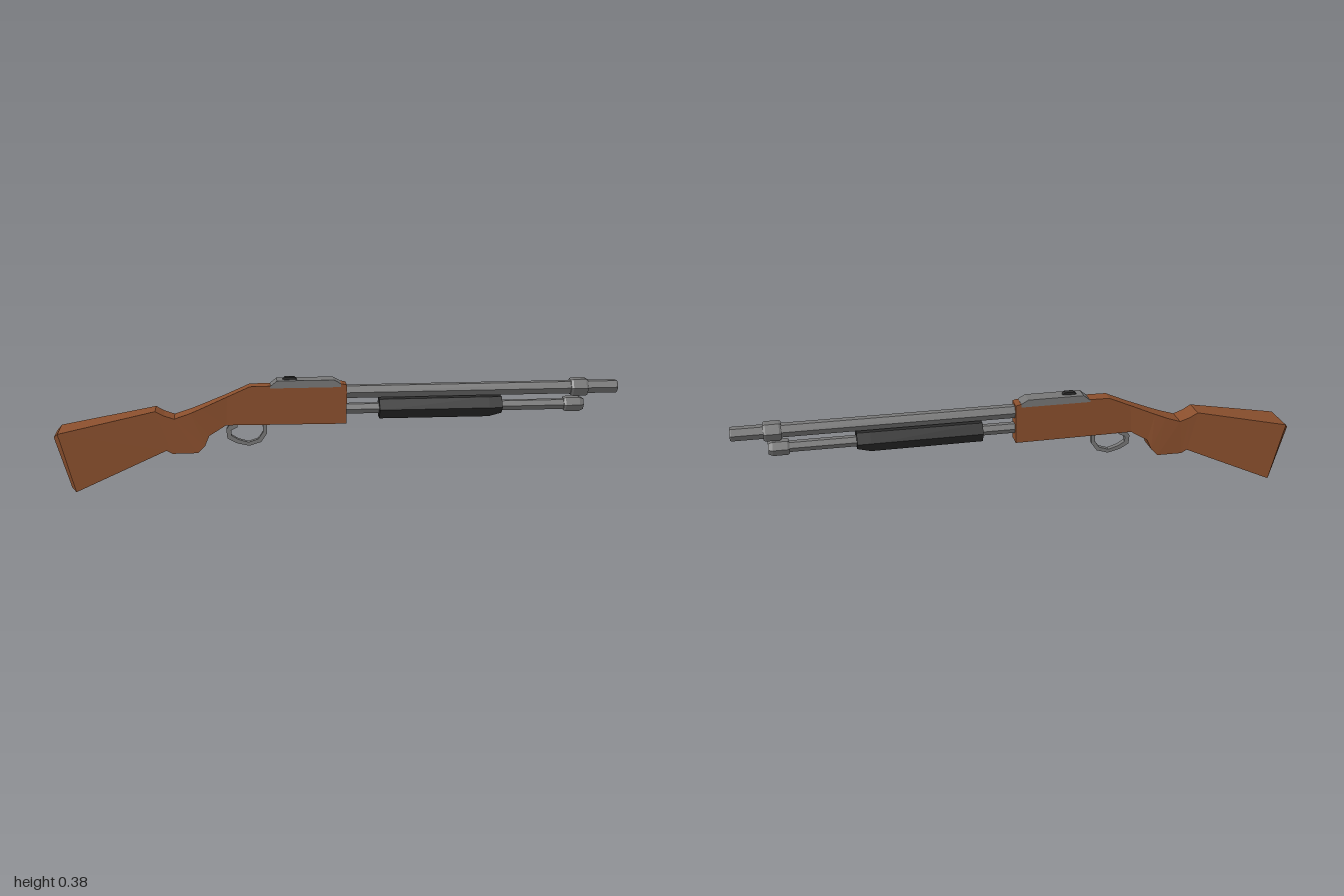
import * as THREE from 'three';

function makeMaterial(name, color) {
  const m = new THREE.MeshStandardMaterial({ color, flatShading: true });
  m.name = name;
  return m;
}

// Rectangular sections joined along x: [topX, topY, bottomX, bottomY, halfWidth]
function loft(sections) {
  const pos = [], index = [], last = (sections.length - 1) * 4;
  for (const [tx, ty, bx, by, w] of sections) {
    pos.push(tx, ty, w, tx, ty, -w, bx, by, -w, bx, by, w);
  }
  for (let i = 0; i < last; i += 4) {
    for (let j = 0; j < 4; j++) {
      const k = (j + 1) % 4, a = i + j, b = i + k, c = b + 4, d = a + 4;
      index.push(a, d, b, b, d, c);
    }
  }
  index.push(0, 1, 2, 0, 2, 3);
  index.push(last, last + 3, last + 2, last, last + 2, last + 1);
  const geo = new THREE.BufferGeometry();
  geo.setAttribute('position', new THREE.Float32BufferAttribute(pos, 3));
  geo.setIndex(index);
  const flat = geo.toNonIndexed();
  flat.computeVertexNormals();
  return flat;
}

// Six-sided turned part lying along x: profile of [radius, x]
function hexPart(profile, y) {
  const geo = new THREE.LatheGeometry(profile.map(([r, x]) => new THREE.Vector2(r, x)), 6);
  return geo.rotateZ(-Math.PI / 2).translate(0, y, 0);
}

export function createModel() {
  const group = new THREE.Group();
  const wood = makeMaterial('wood', 0x8a4f2d);
  const steel = makeMaterial('steel', 0x777777);
  const black = makeMaterial('black', 0x2a2a2a);
  const add = (name, geo, mat) => {
    const mesh = new THREE.Mesh(geo, mat);
    mesh.name = name;
    group.add(mesh);
  };

  // Shoulder stock, grip and receiver in one wooden body
  add('stockAndReceiver', loft([
    [-1.0, 0.196, -0.946, 0.012, 0.046],
    [-0.985, 0.212, -0.93, 0.002, 0.067],
    [-0.65, 0.279, -0.615, 0.137, 0.042],
    [-0.62, 0.262, -0.595, 0.125, 0.041],
    [-0.585, 0.25, -0.505, 0.125, 0.04],
    [-0.53, 0.268, -0.48, 0.15, 0.038],
    [-0.49, 0.284, -0.465, 0.185, 0.034],
    [-0.4, 0.322, -0.405, 0.22, 0.026],
    [-0.32, 0.357, -0.32, 0.219, 0.026],
    [0.005, 0.361, 0.005, 0.217, 0.028],
    [0.02, 0.357, 0.02, 0.217, 0.028],
  ]), wood);

  // Barrel with a recessed muzzle, and its clamp ring
  const barrelY = 0.328, tubeY = 0.266;
  add('barrel', hexPart([[0, -0.02], [0.025, -0.02], [0.025, 0.995], [0.022, 1.0],
    [0.017, 1.0], [0.017, 0.975], [0, 0.975]], barrelY), steel);
  add('barrelRing', hexPart([[0.024, 0.828], [0.031, 0.828], [0.035, 0.836], [0.035, 0.882],
    [0.031, 0.89], [0.024, 0.89]], barrelY), steel);

  // Lower tube and its end cap
  add('lowerTube', hexPart([[0, -0.02], [0.02, -0.02], [0.02, 0.82], [0, 0.82]], tubeY), steel);
  add('lowerTubeCap', hexPart([[0, 0.805], [0.025, 0.805], [0.029, 0.812], [0.029, 0.862],
    [0.022, 0.877], [0.016, 0.877], [0, 0.872]], tubeY), steel);

  // Sliding grip: the lower edge rises towards its front end
  const grip = hexPart([[0, 0.137], [0.04, 0.137], [0.041, 0.53], [0.041, 0.577], [0, 0.577]], tubeY);
  const p = grip.attributes.position;
  for (let i = 0; i < p.count; i++) {
    if (p.getX(i) > 0.55 && p.getY(i) < tubeY - 0.02) p.setY(i, p.getY(i) + 0.012);
  }
  add('slidingGrip', grip, black);

  // Top cover with sloped ends and a small catch
  add('topCover', loft([
    [-0.25, 0.356, -0.25, 0.35, 0.029],
    [-0.225, 0.376, -0.225, 0.35, 0.029],
    [-0.025, 0.376, -0.025, 0.35, 0.029],
    [0.0, 0.362, 0.0, 0.35, 0.029],
  ]), steel);
  add('topCatch', loft([
    [-0.203, 0.378, -0.205, 0.374, 0.008],
    [-0.195, 0.385, -0.195, 0.374, 0.011],
    [-0.163, 0.385, -0.163, 0.374, 0.011],
    [-0.155, 0.378, -0.153, 0.374, 0.008],
  ]), black);

  // Curved finger guard under the receiver
  const outer = [[-0.388, 0.225], [-0.405, 0.2], [-0.402, 0.168], [-0.37, 0.15], [-0.325, 0.139],
    [-0.283, 0.152], [-0.262, 0.182], [-0.262, 0.225]];
  const inner = [[-0.276, 0.225], [-0.276, 0.187], [-0.293, 0.163], [-0.327, 0.152],
    [-0.363, 0.163], [-0.387, 0.178], [-0.388, 0.197], [-0.365, 0.208], [-0.365, 0.225]];
  const shape = new THREE.Shape([...outer, ...inner].map(([x, y]) => new THREE.Vector2(x, y)));
  const guard = new THREE.ExtrudeGeometry(shape, { depth: 0.02, bevelEnabled: false });
  add('fingerGuard', guard.translate(0, 0, -0.01), steel);

  return group;
}
